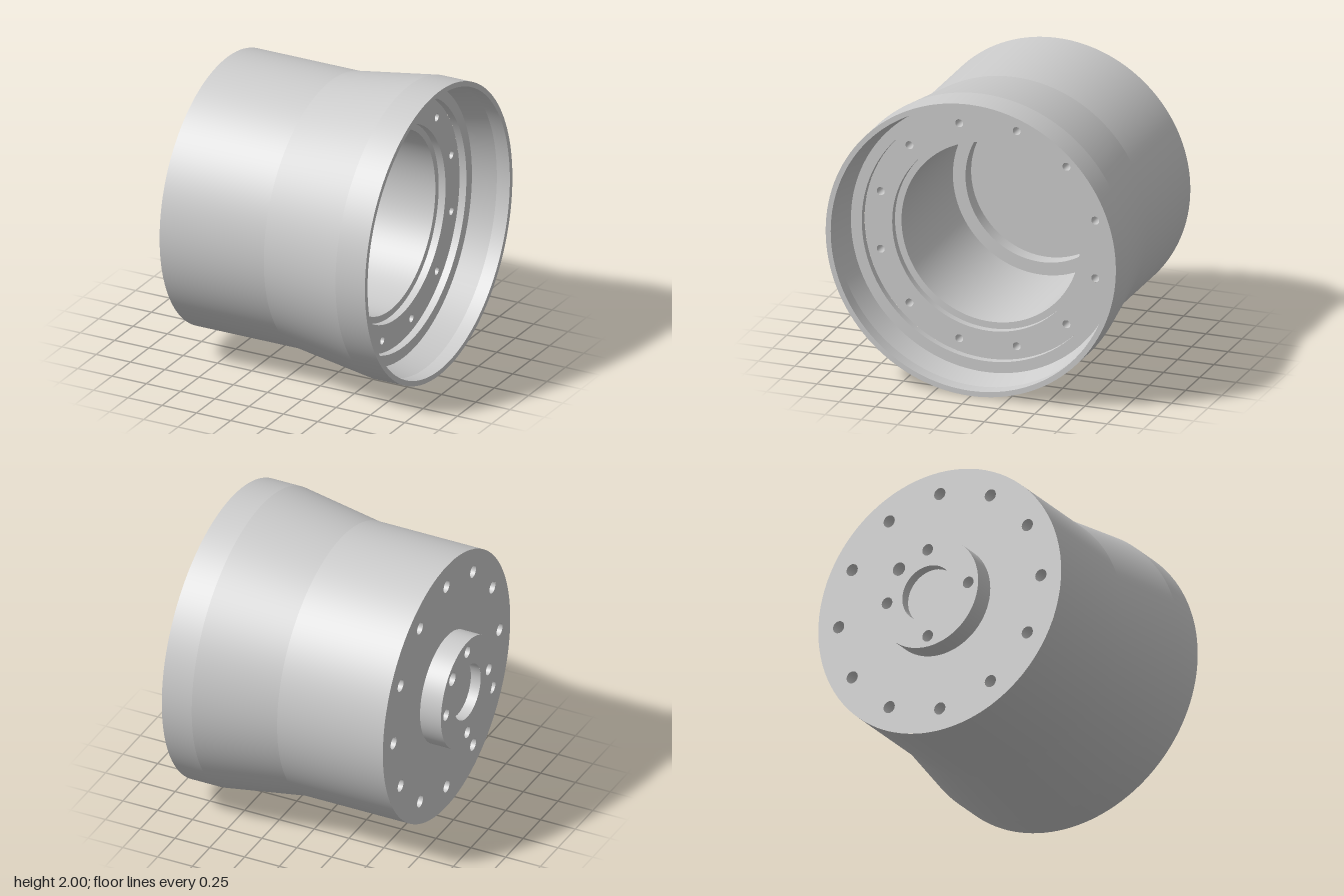
import * as THREE from 'three';
import { mergeGeometries } from 'three/addons/utils/BufferGeometryUtils.js';

const material = new THREE.MeshStandardMaterial({ color: 0xcccccc });

// Surface turned about the x axis from [x, radius] points, with sharp edges between sections.
function turned(profile, segments = 96) {
  const parts = [];
  for (let i = 0; i < profile.length - 1; i++) {
    const pts = [profile[i], profile[i + 1]].map(([x, r]) => new THREE.Vector2(r, x));
    parts.push(new THREE.LatheGeometry(pts, segments));
  }
  return mergeGeometries(parts).rotateZ(-Math.PI / 2);
}

// Ring of hole centres; angles are measured from the top towards +z.
function ring(count, radius, startDeg, holeRadius) {
  return Array.from({ length: count }, (_, i) => {
    const a = THREE.MathUtils.degToRad(startDeg + (360 / count) * i);
    return { y: radius * Math.cos(a), z: radius * Math.sin(a), r: holeRadius };
  });
}

// Flat round face at x, facing dir (+1 or -1 along x), pierced by holes.
function face(x, dir, radius, holes) {
  const shape = new THREE.Shape().absarc(0, 0, radius, 0, Math.PI * 2);
  for (const h of holes) {
    shape.holes.push(new THREE.Path().absarc(-dir * h.z, h.y, h.r, 0, Math.PI * 2, true));
  }
  return new THREE.ShapeGeometry(shape, 48).rotateY(dir * Math.PI / 2).translate(x, 0, 0);
}

// Inside of a drilled hole starting at x and running against dir.
function bore(x, dir, hole, depth, closed = true) {
  const profile = [[0, hole.r], [-depth, hole.r]];
  if (closed) profile.push([-depth, 0]);
  const g = turned(profile, 32);
  if (dir < 0) g.rotateY(Math.PI);
  return g.translate(x, hole.y, hole.z);
}

export function createModel() {
  const group = new THREE.Group();
  group.position.y = 1;
  const add = (name, geometry) => {
    const mesh = new THREE.Mesh(geometry, material);
    mesh.name = name;
    group.add(mesh);
  };

  const BACK = -0.7, HUB = -0.85, FLANGE = 0.54, FLOOR = -0.5;
  const backHoles = ring(12, 0.76, 0, 0.042);
  const flangeHoles = ring(12, 0.765, 15, 0.027);
  const hubHoles = ring(4, 0.305, 0, 0.04);
  const throughHole = { y: 0.22, z: -0.215, r: 0.046 };
  const recess = { y: 0, z: 0, r: 0.19 };
  const centre = (r) => ({ y: 0, z: 0, r });

  // Flared outer shell, rim and stepped seat down to the flange
  add('barrel', turned([
    [BACK, 0.913], [0.06, 0.913], [0.63, 1], [0.845, 1], [0.845, 0.965],
    [0.75, 0.965], [0.59, 0.925], [0.59, 0.85], [FLANGE, 0.85],
  ], 128));

  // Drilled ring inside the wide end
  add('flange', face(FLANGE, 1, 0.85, [centre(0.66), ...flangeHoles]));
  add('flangeHoles', mergeGeometries(flangeHoles.map((h) => bore(FLANGE, 1, h, 0.12))));

  // Deep stepped cavity and its floor
  add('cavity', turned([
    [FLANGE, 0.66], [0.49, 0.66], [0.49, 0.615], [-0.4, 0.607], [-0.4, 0.52], [FLOOR, 0.52],
  ]));
  add('cavityFloor', face(FLOOR, 1, 0.52, [throughHole]));

  // Drilled back plate
  add('backPlate', face(BACK, -1, 0.913, [centre(0.38), ...backHoles]));
  add('backHoles', mergeGeometries(backHoles.map((h) => bore(BACK, -1, h, 0.15))));

  // Raised hub with a shallow recess, blind holes and one through hole
  add('hubWall', turned([[HUB, 0.38], [BACK, 0.38]]));
  add('hubFace', face(HUB, -1, 0.38, [recess, throughHole, ...hubHoles]));
  add('hubRecess', bore(HUB, -1, recess, 0.07));
  add('hubHoles', mergeGeometries(hubHoles.map((h) => bore(HUB, -1, h, 0.15))));
  add('throughHole', bore(HUB, -1, throughHole, FLOOR - HUB, false));

  const model = new THREE.Group();
  model.add(group);
  group.name = 'steppedDrum';
  return model;
}
